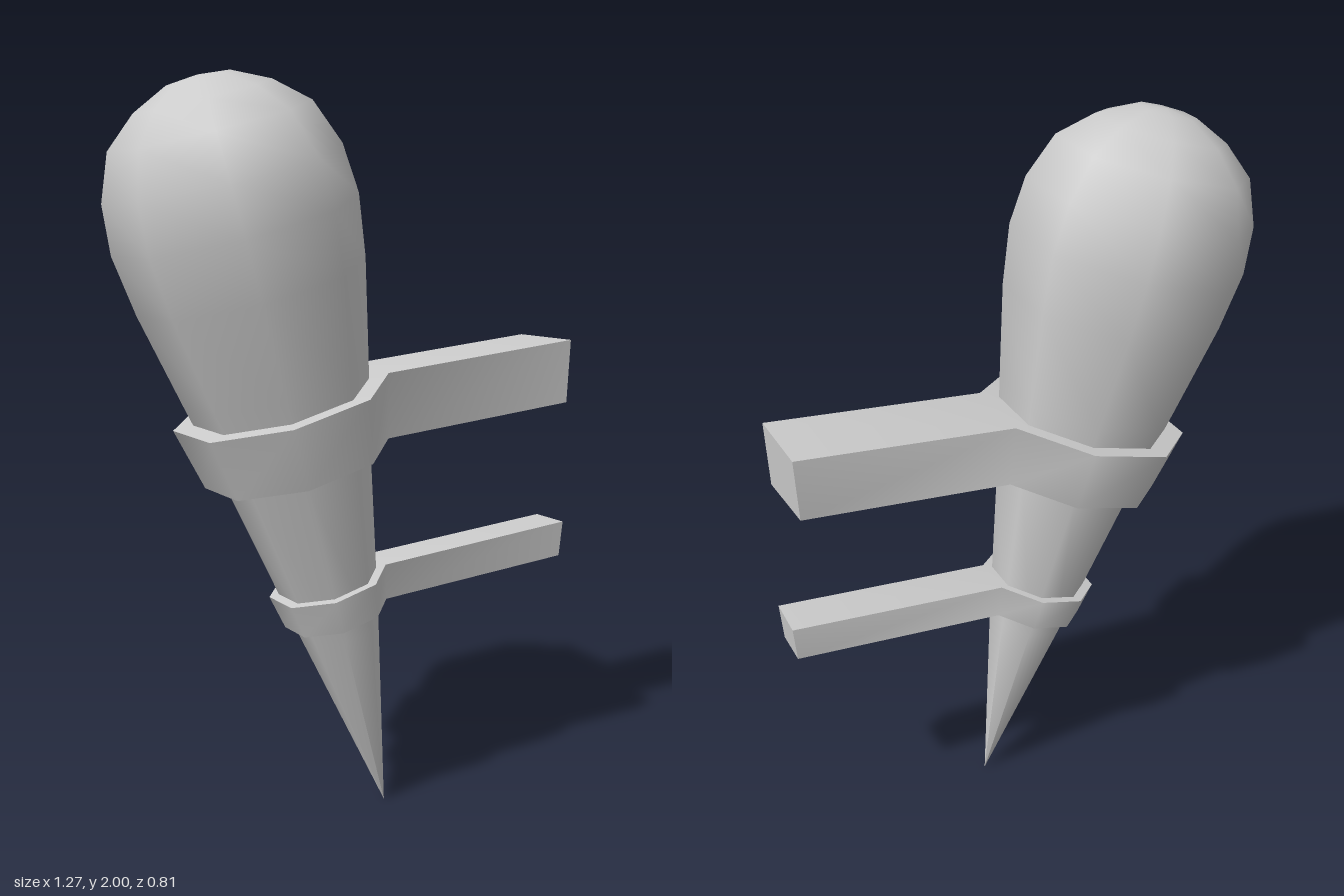
import * as THREE from 'three';
import { toCreasedNormals } from 'three/addons/utils/BufferGeometryUtils.js';

const TIP = new THREE.Vector3(0.05, 0, 0.12);
const SLOPE = new THREE.Vector3(-0.222, 1, -0.13); // leaning axis, per unit of height
const LEAN = new THREE.Quaternion().setFromUnitVectors(
  new THREE.Vector3(0, 1, 0), SLOPE.clone().normalize());

const axisPoint = (y) => TIP.clone().addScaledVector(SLOPE, y);

// Octagon square to the leaning axis, starting at +x and turning towards +z
function octagon(y, radius) {
  return Array.from({ length: 8 }, (_, i) => {
    const a = (i * Math.PI) / 4;
    return new THREE.Vector3(Math.cos(a) * radius, 0, Math.sin(a) * radius)
      .applyQuaternion(LEAN).add(axisPoint(y));
  });
}

// Tapered octagonal collar whose one side runs out into a flat arm
function bracketGeometry(bottom, top) {
  const pos = [];
  const tri = (...pts) => pts.forEach((p) => pos.push(p.x, p.y, p.z));
  const quad = (a, b, c, d) => tri(a, b, c, a, c, d);
  const level = ({ y, radius, ends }) => {
    const ring = octagon(y, radius);
    const [e0, e1] = ends.map((e) => new THREE.Vector3(...e));
    return { ring, e0, e1, centre: axisPoint(y), loop: [ring[0], e0, e1, ...ring.slice(1)] };
  };
  const lo = level(bottom), hi = level(top);

  // Outer walls
  lo.loop.forEach((p, i) => {
    const j = (i + 1) % lo.loop.length;
    quad(lo.loop[j], p, hi.loop[i], hi.loop[j]);
  });
  // Upper and lower faces of collar and arm
  for (let i = 0; i < 8; i++) {
    const j = (i + 1) % 8;
    tri(hi.centre, hi.ring[j], hi.ring[i]);
    tri(lo.centre, lo.ring[i], lo.ring[j]);
  }
  quad(hi.ring[0], hi.ring[1], hi.e1, hi.e0);
  quad(lo.ring[0], lo.e0, lo.e1, lo.ring[1]);

  const geometry = new THREE.BufferGeometry();
  geometry.setAttribute('position', new THREE.Float32BufferAttribute(pos, 3));
  return toCreasedNormals(geometry, 0.95);
}

export function createModel() {
  const group = new THREE.Group();
  const material = new THREE.MeshStandardMaterial({ color: 0xcccccc });
  const add = (name, geometry) => {
    const mesh = new THREE.Mesh(geometry, material);
    mesh.name = name;
    group.add(mesh);
    return mesh;
  };

  // Pointed shaft swelling into a rounded head: [height, radius]
  const profile = [
    [0, 0], [0.53, 0.11], [1.0, 0.2], [1.22, 0.248], [1.47, 0.3], [1.625, 0.32],
    [1.75, 0.308], [1.865, 0.26], [1.935, 0.175], [1.978, 0.08], [1.985, 0],
  ].map(([y, r]) => new THREE.Vector2(r, y * SLOPE.length()));
  const torch = add('torchBody', new THREE.LatheGeometry(profile, 8));
  torch.position.copy(TIP);
  torch.quaternion.copy(LEAN);

  // Wall brackets
  add('upperBracket', bracketGeometry(
    { y: 1.0, radius: 0.25, ends: [[0.625, 1.11, 0.19], [0.545, 1.105, 0.395]] },
    { y: 1.167, radius: 0.29, ends: [[0.63, 1.275, 0.195], [0.55, 1.283, 0.4]] }));
  add('lowerBracket', bracketGeometry(
    { y: 0.573, radius: 0.143, ends: [[0.615, 0.65, 0.265], [0.567, 0.645, 0.375]] },
    { y: 0.667, radius: 0.163, ends: [[0.62, 0.742, 0.27], [0.572, 0.747, 0.382]] }));

  return group;
}
